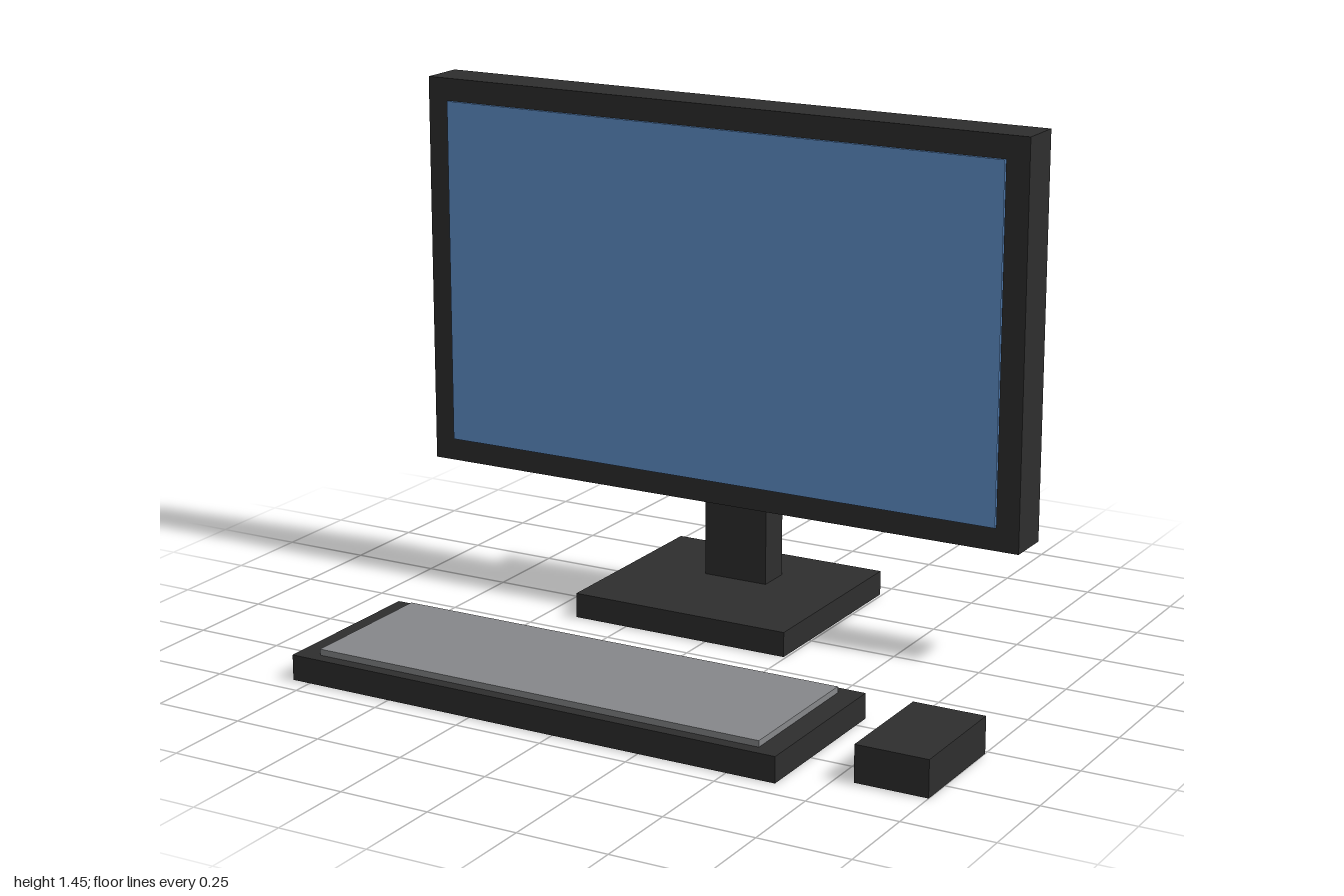
import * as THREE from 'three';

const material = (name, color) => {
  const m = new THREE.MeshStandardMaterial({ color });
  m.name = name;
  return m;
};

// Box given by its [min, max] extents on each axis
function box(name, mat, [x0, x1], [y0, y1], [z0, z1]) {
  const mesh = new THREE.Mesh(new THREE.BoxGeometry(x1 - x0, y1 - y0, z1 - z0), mat);
  mesh.position.set((x0 + x1) / 2, (y0 + y1) / 2, (z0 + z1) / 2);
  mesh.name = name;
  return mesh;
}

function group(name, ...parts) {
  const g = new THREE.Group();
  g.name = name;
  return g.add(...parts);
}

export function createModel() {
  const black = material('black plastic', 0x2e2e2e);
  const blue = material('screen blue', 0x6193cf);
  const grey = material('key grey', 0x86878a);

  // Monitor: panel, thin screen plate and stand
  const monitor = group('monitor',
    box('panel', black, [-1, 0.835], [0.33, 1.445], [-0.426, -0.295]),
    box('screen', blue, [-0.935, 0.769], [0.395, 1.381], [-0.296, -0.287]),
    box('standNeck', black, [-0.18, 0.013], [0.07, 0.82], [-0.524, -0.426]),
    box('standBase', black, [-0.41, 0.243], [0, 0.07], [-0.69, -0.1]));

  // Keyboard: body with a raised key area
  const keyboard = group('keyboard',
    box('keyboardBody', black, [-0.803, 0.636], [0, 0.07], [0.198, 0.69]),
    box('keyArea', grey, [-0.738, 0.573], [0.07, 0.087], [0.231, 0.656]));

  const mouse = box('mouse', black, [0.8, 1], [0, 0.1], [0.263, 0.591]);

  return group('desktopComputer', monitor, keyboard, mouse);
}
